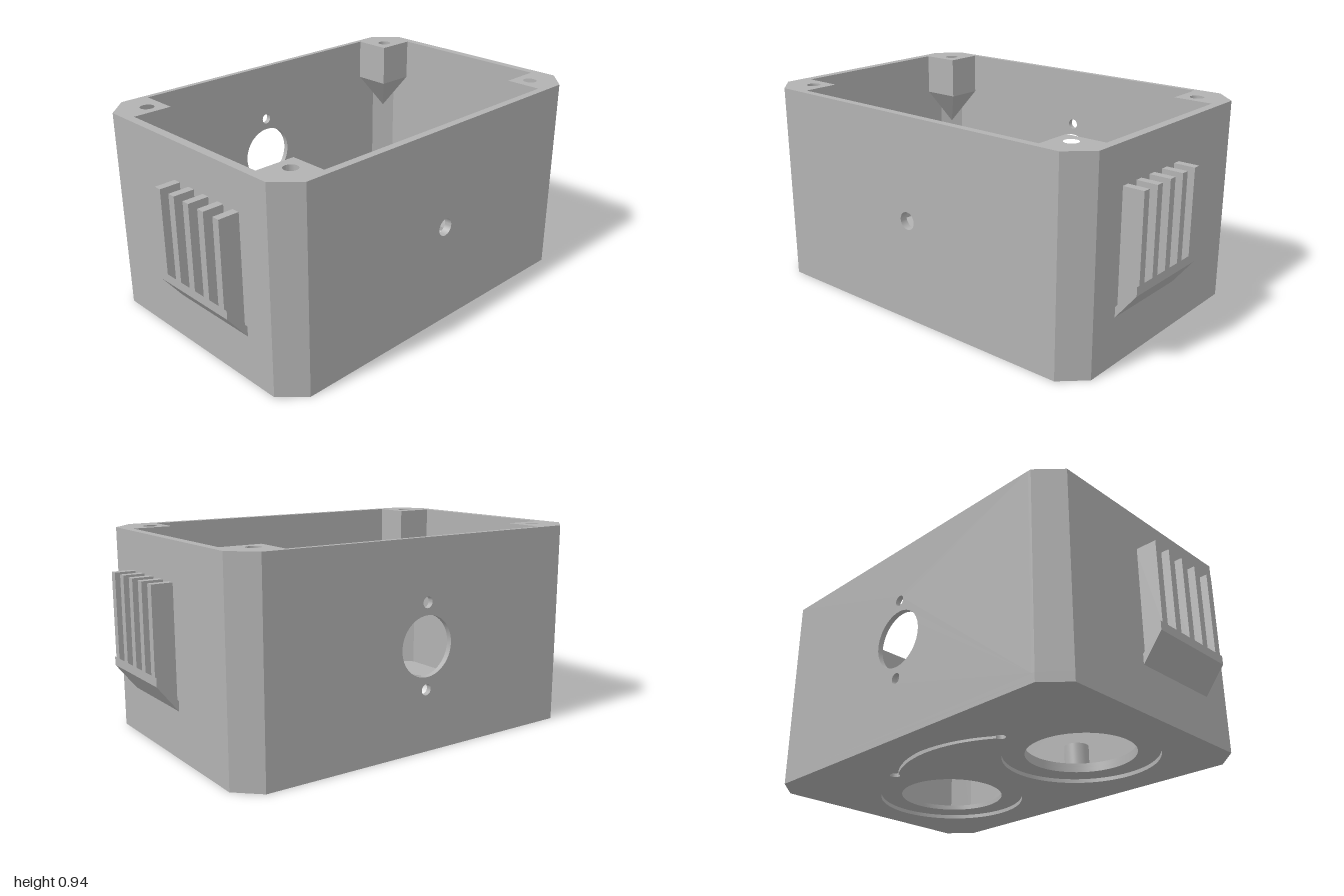
import * as THREE from 'three';
import { toCreasedNormals } from 'three/addons/utils/BufferGeometryUtils.js';
import { ConvexGeometry } from 'three/addons/geometries/ConvexGeometry.js';

const H = 0.935, FLOOR = 0.04, RECESS = 0.018;   // case height, floor thickness, underside recess depth
const FRONT_IN = 0.575, BACK_IN = -0.585;        // inner faces of front and back walls
const OPEN_X = 0.415, OPEN_Z = 0.1;              // round floor openings

export function createModel() {
  const model = new THREE.Group();
  model.name = 'enclosure';
  const grey = new THREE.MeshStandardMaterial({ color: 0xb2b2b2 });
  grey.name = 'plain grey';

  const add = (name, geo) => {
    const mesh = new THREE.Mesh(geo, grey);
    mesh.name = name;
    model.add(mesh);
  };
  const box = (name, x0, x1, y0, y1, z0, z1) => {
    const g = new THREE.BoxGeometry(x1 - x0, y1 - y0, z1 - z0);
    add(name, g.translate((x0 + x1) / 2, (y0 + y1) / 2, (z0 + z1) / 2));
  };
  const circle = (x, y, r, n = 64) => Array.from({ length: n }, (_, i) => {
    const a = (i / n) * Math.PI * 2;
    return [x + r * Math.cos(a), y + r * Math.sin(a)];
  });
  // Extrudes an outline with holes along z
  const extrude = (outline, holes, depth) => {
    const vec = (pts) => pts.map(([x, y]) => new THREE.Vector2(x, y));
    const shape = new THREE.Shape(vec(outline));
    holes.forEach((h) => shape.holes.push(new THREE.Path(vec(h))));
    return toCreasedNormals(new THREE.ExtrudeGeometry(shape, { depth, bevelEnabled: false }), 0.5);
  };
  // Upright prism from an outline of [x, z] points
  const slab = (name, outline, holes, y0, y1) => {
    const flip = (pts) => pts.map(([x, z]) => [x, -z]);
    const g = extrude(flip(outline), holes.map(flip), y1 - y0);
    add(name, g.rotateX(-Math.PI / 2).translate(0, y0, 0));
  };

  // Floor: a lower layer with recesses and a curved groove, an upper layer with the openings
  const octagon = [[0.8, 0.61], [0.905, 0.51], [0.905, -0.51], [0.8, -0.61],
    [-0.8, -0.61], [-0.905, -0.51], [-0.905, 0.51], [-0.8, 0.61]];
  const both = (r) => [-1, 1].map((s) => circle(s * OPEN_X, OPEN_Z, r, 80));
  const groove = [];
  const R = 0.58, CZ = 0.15, SPAN = 0.59;
  const arcPoint = (a, r) => [r * Math.sin(a), CZ - r * Math.cos(a)];
  for (let i = 0; i <= 24; i++) groove.push(arcPoint(-SPAN + (i / 24) * 2 * SPAN, R + 0.014));
  const bulb = (s) => {
    const [cx, cz] = arcPoint(s * (SPAN + 0.035), R);
    for (let i = 0; i <= 16; i++) {
      // starts on the groove's outer side for the right end, inner side for the left end
      const t = Math.PI * 0.2 + (i / 16) * Math.PI * 1.6;
      const along = -Math.cos(t) * 0.024, out = Math.sin(t) * 0.024 * s;
      const a = s * (SPAN + 0.035);
      groove.push([
        cx + s * along * Math.cos(a) + out * Math.sin(a),
        cz + s * along * Math.sin(a) - out * Math.cos(a),
      ]);
    }
  };
  bulb(1);
  for (let i = 24; i >= 0; i--) groove.push(arcPoint(-SPAN + (i / 24) * 2 * SPAN, R - 0.014));
  bulb(-1);
  slab('underside', octagon, [...both(0.345), groove], 0, RECESS);
  slab('floor', octagon, both(0.245), RECESS, FLOOR);

  // Front and back walls with their round holes
  const panel = (holes) => extrude(
    [[-0.785, FLOOR], [0.785, FLOOR], [0.785, H], [-0.785, H]], holes, 1);
  add('frontWall', panel([circle(0, 0.47, 0.04, 32)])
    .scale(1, 1, 0.61 - FRONT_IN).translate(0, 0, FRONT_IN));
  add('backWall', panel([circle(0, 0.47, 0.135), circle(0, 0.66, 0.025, 24), circle(0, 0.28, 0.025, 24)])
    .scale(1, 1, 0.61 + BACK_IN).translate(0, 0, -0.61));

  // Bevelled corners with screw posts that taper into the corner
  for (const sx of [-1, 1]) {
    for (const sz of [-1, 1]) {
      const zi = sz > 0 ? FRONT_IN : -BACK_IN;
      const at = (pts) => pts.map(([x, z]) => [sx * x, sz * z]);
      slab('cornerWall', at([[0.785, 0.61], [0.8, 0.61], [0.905, 0.51], [0.905, 0.5],
        [0.865, 0.5], [0.785, zi]]), [], FLOOR, H);
      const post = at([[0.68, 0.405], [0.865, 0.405], [0.865, 0.5], [0.785, zi], [0.68, zi]]);
      slab('screwPost', post, [circle(sx * 0.755, sz * 0.475, 0.032, 32)], 0.735, H);
      const tip = new THREE.Vector3(sx * 0.825, 0.55, sz * (0.5 + zi) / 2);
      add('postTaper', new ConvexGeometry(
        [...post.map(([x, z]) => new THREE.Vector3(x, 0.735, z)), tip]));
    }
  }

  // Raised strip on the floor
  box('floorStrip', -0.11, 0.11, FLOOR, 0.08, BACK_IN, 0.07);

  for (const sx of [-1, 1]) {
    const side = (a, b) => (sx > 0 ? [a, b] : [-b, -a]);
    box('sideWall', ...side(0.865, 0.905), FLOOR, H, -0.5, 0.5);

    // Raised rim round each opening, with a tab towards the middle
    const rim = [[sx * 0.11, OPEN_Z + 0.13], [sx * 0.11, OPEN_Z - 0.13]];
    const start = Math.PI + 0.492, sweep = 2 * Math.PI - 0.984;
    for (let i = 0; i <= 64; i++) {
      const a = start + (i / 64) * sweep;
      rim.push([sx * (OPEN_X + 0.275 * Math.cos(a)), OPEN_Z + 0.275 * Math.sin(a)]);
    }
    slab('openingRim', rim, [circle(sx * OPEN_X, OPEN_Z, 0.245, 80)], FLOOR, 0.06);

    // Hollow screw bosses on the floor
    for (const [x, z] of [[0.655, -0.16], [0.18, 0.355]]) {
      slab('screwBoss', circle(sx * x, z, 0.058, 32), [circle(sx * x, z, 0.032, 32)], FLOOR, 0.18);
    }

    // Side vent: sloping ledge with five upright fins
    const bar = (name, pts, z0, z1) => add(name,
      extrude(pts.map(([x, y]) => [sx * x, y]), [], z1 - z0).translate(0, 0, z0));
    bar('ventLedge', [[0.9, 0.208], [1, 0.335], [1, 0.375], [0.9, 0.255]], -0.085, 0.36);
    for (let i = 0; i < 5; i++) {
      const z = -0.072 + i * 0.095;
      bar('ventFin', [[0.9, 0.25], [1, 0.37], [1, 0.76], [0.9, 0.76]], z, z + 0.036);
    }
  }
  return model;
}
